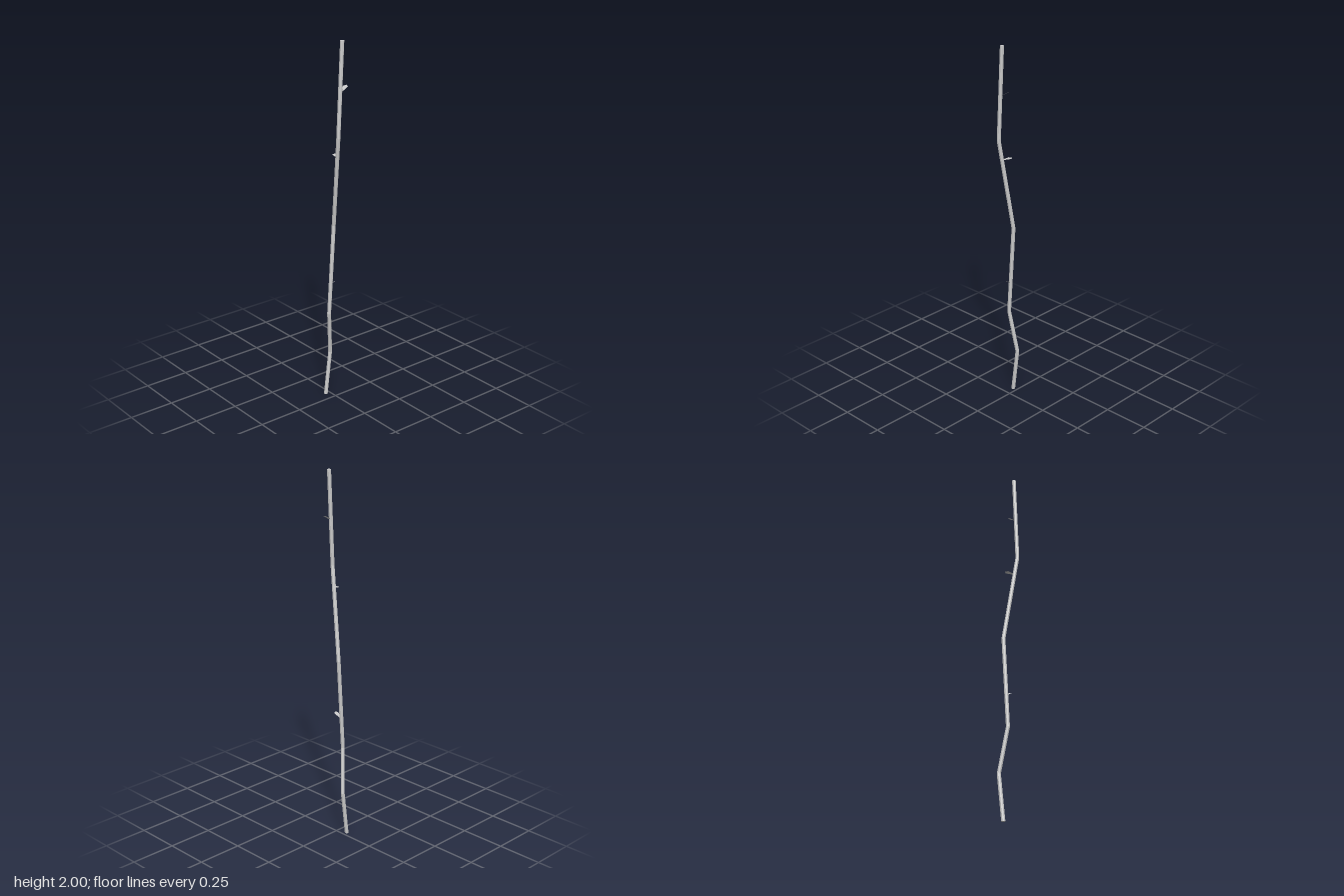
import * as THREE from 'three';

const RADIUS = 0.011, SIDES = 8;
// centre line of the stem
const NODES = [
  [-0.055, 0, 0.025], [-0.055, 0.25, -0.006], [-0.023, 0.5, 0.026],
  [-0.023, 1, -0.006], [0.053, 1.5, 0.025], [0.053, 2, 0.001],
];

// horizontal rings joined into a crooked, faceted stem with closed ends
function stemGeometry() {
  const pos = [], index = [], n = NODES.length;
  for (const [x, y, z] of NODES) {
    for (let i = 0; i < SIDES; i++) {
      const a = ((i + 0.5) / SIDES) * Math.PI * 2;
      pos.push(x + RADIUS * Math.cos(a), y, z + RADIUS * Math.sin(a));
    }
  }
  for (let r = 0; r < n - 1; r++) {
    for (let i = 0; i < SIDES; i++) {
      const a = r * SIDES + i, b = r * SIDES + (i + 1) % SIDES;
      index.push(a, a + SIDES, b, b, a + SIDES, b + SIDES);
    }
  }
  const top = (n - 1) * SIDES;
  for (let i = 1; i < SIDES - 1; i++) {
    index.push(0, i, i + 1);
    index.push(top, top + i + 1, top + i);
  }
  const g = new THREE.BufferGeometry();
  g.setAttribute('position', new THREE.Float32BufferAttribute(pos, 3));
  g.setIndex(index);
  const flat = g.toNonIndexed();
  flat.computeVertexNormals();
  return flat;
}

// flat five-sided leaf: narrow at the stem, widest near the blunt tip
function leafGeometry() {
  const s = new THREE.Shape([
    [-0.007, 0], [0.007, 0], [0.016, 0.036], [0, 0.047], [-0.016, 0.036],
  ].map(([x, y]) => new THREE.Vector2(x, y)));
  return new THREE.ShapeGeometry(s);
}

// base point, growing direction and rough width direction of each leaf
const LEAVES = [
  { name: 'lowerLeaf', base: [-0.02, 0.677, 0.012], dir: [0.82, 0.55, -0.1], side: [0.1, 0.25, -1] },
  { name: 'middleLeaf', base: [0.03, 1.396, 0.013], dir: [-0.92, 0.07, -0.36], side: [-0.36, -0.04, 0.92] },
  { name: 'upperLeaf', base: [0.053, 1.745, 0.003], dir: [-0.2, 0.52, -0.86], side: [1, 0.05, -0.2] },
];

export function createModel() {
  const group = new THREE.Group();
  group.name = 'vine';
  const material = new THREE.MeshStandardMaterial({
    color: 0xcccccc, flatShading: true, side: THREE.DoubleSide,
  });

  const stem = new THREE.Mesh(stemGeometry(), material);
  stem.name = 'stem';
  group.add(stem);

  const leafShape = leafGeometry();
  for (const { name, base, dir, side } of LEAVES) {
    const leaf = new THREE.Mesh(leafShape, material);
    const y = new THREE.Vector3(...dir).normalize();
    const z = new THREE.Vector3(...side).cross(y).normalize();
    const x = new THREE.Vector3().crossVectors(y, z);
    leaf.quaternion.setFromRotationMatrix(new THREE.Matrix4().makeBasis(x, y, z));
    leaf.position.set(...base);
    leaf.name = name;
    group.add(leaf);
  }
  return group;
}
